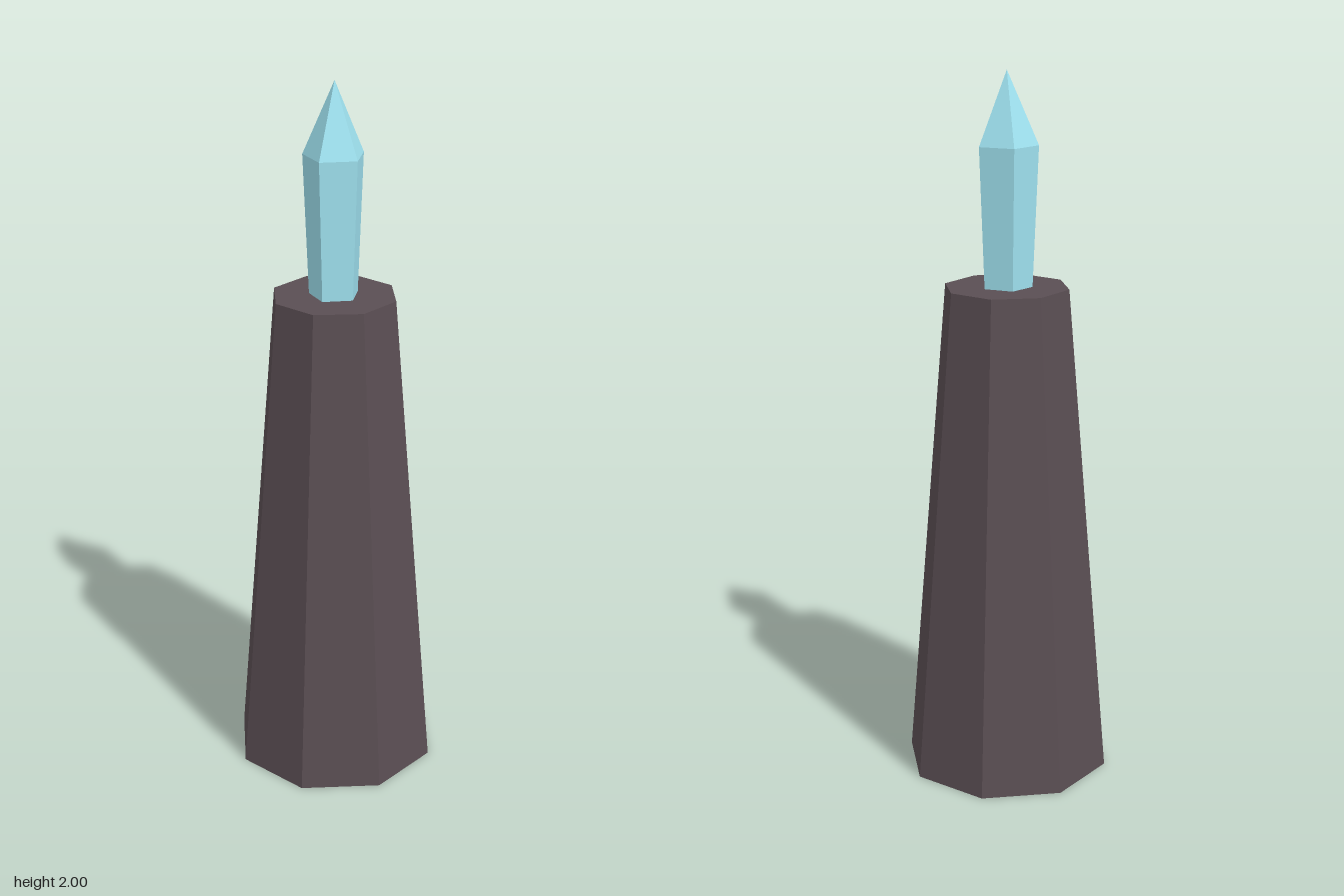
import * as THREE from 'three';

export function createModel() {
  const group = new THREE.Group();
  const stone = new THREE.MeshStandardMaterial({ color: 0x5a4e53, flatShading: true });
  const crystal = new THREE.MeshStandardMaterial({ color: 0x9fe2f0, flatShading: true });

  // Upright faceted section with a corner on +x
  function addPart(name, material, sides, rTop, rBottom, y0, y1, open = false) {
    const geometry = new THREE.CylinderGeometry(rTop, rBottom, y1 - y0, sides, 1, open, Math.PI / 2);
    const mesh = new THREE.Mesh(geometry, material);
    mesh.name = name;
    mesh.position.y = (y0 + y1) / 2;
    group.add(mesh);
  }

  // Tapered octagonal pillar
  addPart('pillar', stone, 8, 0.176, 0.294, 0, 1.412);

  // Five-sided crystal: shaft flaring upwards, then a pointed tip
  addPart('crystalShaft', crystal, 5, 0.087, 0.071, 1.412, 1.8, true);
  addPart('crystalTip', crystal, 5, 0, 0.087, 1.8, 2, true);

  return group;
}
